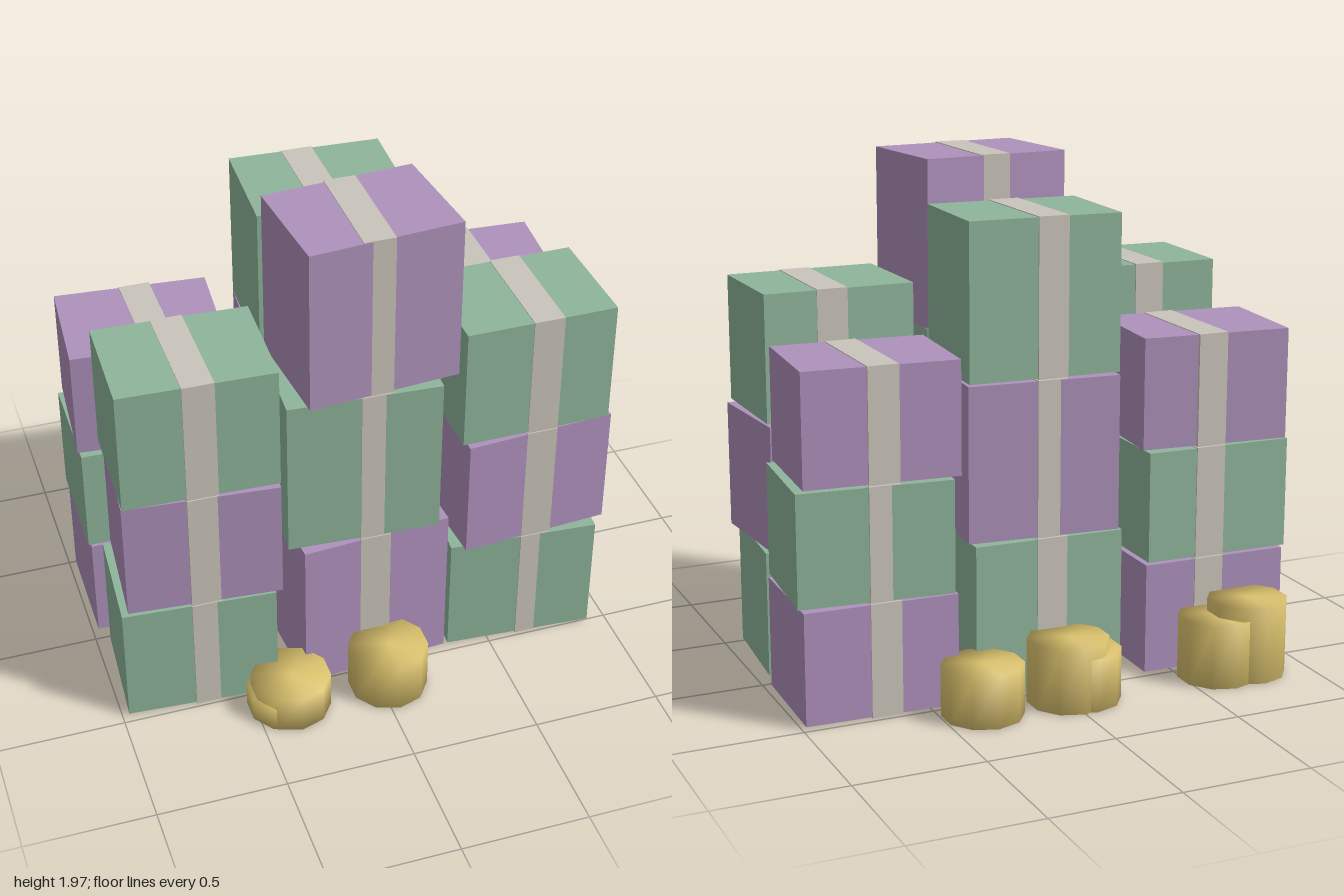
import * as THREE from 'three';
import { mergeVertices } from 'three/addons/utils/BufferGeometryUtils.js';

const mat = (name, color) => {
  const m = new THREE.MeshStandardMaterial({ color });
  m.name = name;
  return m;
};

export function createModel() {
  const model = new THREE.Group();
  model.name = 'crateStacks';
  const green = mat('sage green', 0x8fb59b);
  const purple = mat('soft purple', 0xae91bb);
  const ribbon = mat('pale ribbon', 0xcac5bb);
  const gold = mat('gold', 0xdcc36e);

  const WIDTH = 0.59, DEPTH = 0.445, GAP = 0.01;

  // One stack: three slightly turned boxes, each with a straight ribbon band
  function addStack(name, strapX, z, height, colors, xs, turns) {
    const stack = new THREE.Group();
    stack.name = name;
    colors.forEach((color, i) => {
      const y = GAP + i * (height + GAP) + height / 2;
      const box = new THREE.Mesh(new THREE.BoxGeometry(WIDTH, height, DEPTH), color);
      box.name = 'box';
      box.position.set(xs[i], y, z);
      box.rotation.y = turns[i];
      const band = new THREE.Mesh(new THREE.BoxGeometry(0.12, height + 0.006, DEPTH + 0.008), ribbon);
      band.name = 'ribbonBand';
      band.position.set(strapX, y, z);
      stack.add(box, band);
    });
    model.add(stack);
  }

  const gpg = [green, purple, green], pgp = [purple, green, purple];
  const F = 0.265, B = -0.265;
  addStack('frontRightStack', -0.65, F, 0.49, gpg, [-0.665, -0.637, -0.645], [-0.067, -0.08, -0.035]);
  addStack('frontMiddleStack', 0.015, F, 0.645, pgp, [0.008, -0.018, 0.025], [0.067, -0.056, 0.087]);
  addStack('frontLeftStack', 0.675, F, 0.49, gpg, [0.643, 0.657, 0.648], [-0.067, 0.07, 0.012]);
  addStack('backRightStack', -0.65, B, 0.43, pgp, [-0.68, -0.69, -0.685], [-0.01, -0.012, -0.08]);
  addStack('backMiddleStack', 0.015, B, 0.592, gpg, [0.02, 0.03, 0.035], [-0.02, -0.075, -0.045]);
  addStack('backLeftStack', 0.675, B, 0.43, pgp, [0.685, 0.69, 0.665], [-0.025, -0.08, -0.068]);

  // Ten-sided gold piles with shared normals, so they shade as soft rounds
  function addPile(x, z, height) {
    let geo = new THREE.CylinderGeometry(0.155, 0.155, height, 10);
    geo.deleteAttribute('normal');
    geo.deleteAttribute('uv');
    geo = mergeVertices(geo);
    geo.computeVertexNormals();
    const pile = new THREE.Mesh(geo, gold);
    pile.name = 'goldPile';
    pile.position.set(x, height / 2, z);
    model.add(pile);
  }
  [
    [0.035, 0.595, 0.2], [-0.36, 0.592, 0.15], [-0.375, 0.585, 0.1],
    [-0.76, -0.6, 0.3], [-0.635, -0.6, 0.25],
    [0, -0.6, 0.25], [-0.05, -0.6, 0.2], [0.345, -0.6, 0.2],
  ].forEach((p) => addPile(...p));

  return model;
}
